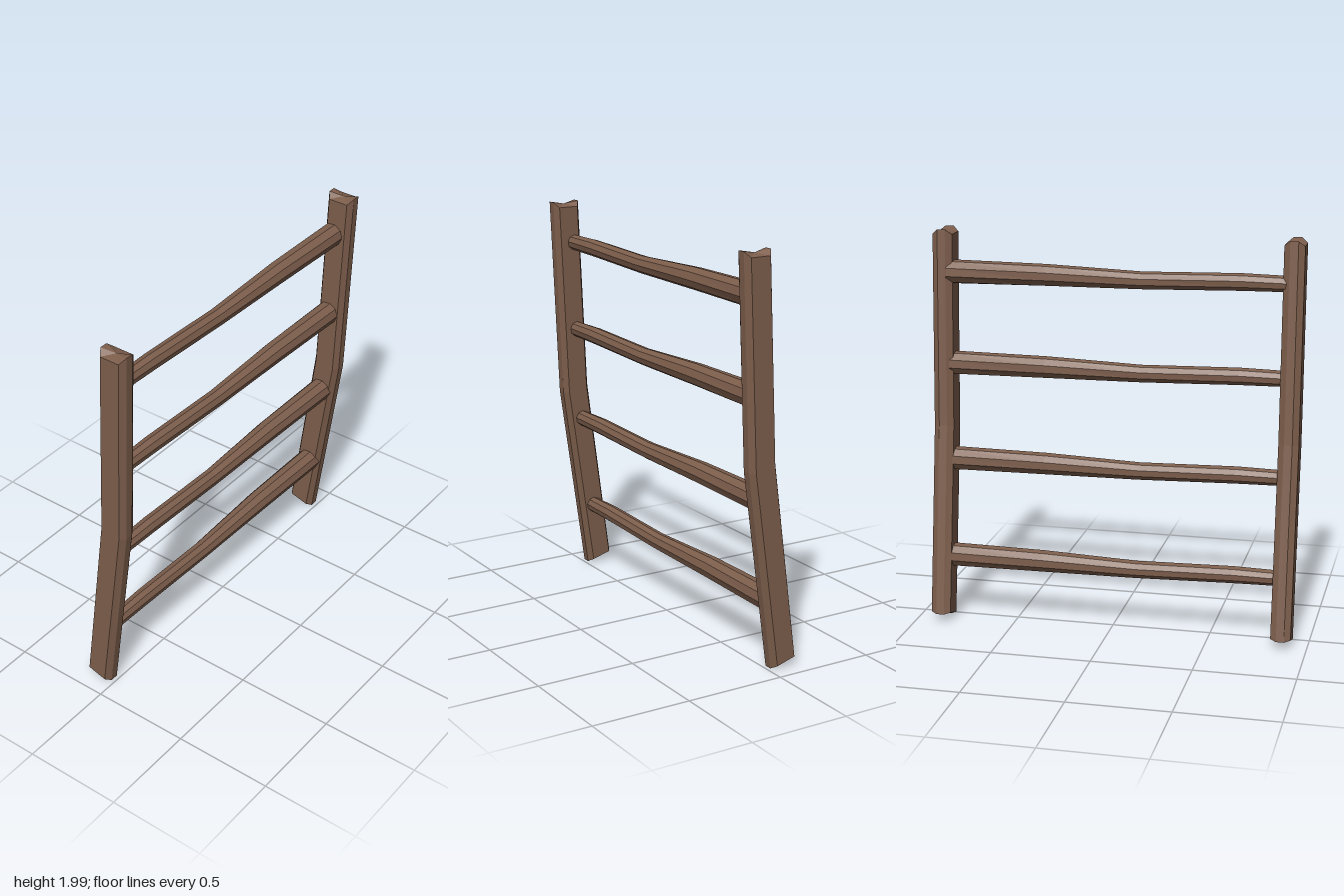
import * as THREE from 'three';

const wood = new THREE.MeshStandardMaterial({ color: 0x7d5e4c, roughness: 0.9, flatShading: true });

// Skins a list of equal-length loops (counter-clockwise seen from the last loop's end) and caps both ends
function loft(loops) {
  const n = loops[0].length;
  const positions = [];
  const tri = (...corners) => corners.forEach((p) => positions.push(p.x, p.y, p.z));
  for (let r = 0; r < loops.length - 1; r++) {
    for (let i = 0; i < n; i++) {
      const j = (i + 1) % n;
      const [a, b, c, d] = [loops[r][i], loops[r][j], loops[r + 1][j], loops[r + 1][i]];
      tri(a, b, c);
      tri(a, c, d);
    }
  }
  const centre = (loop) => loop.reduce((s, p) => s.add(p), new THREE.Vector3()).divideScalar(n);
  const first = loops[0];
  const last = loops[loops.length - 1];
  const c0 = centre(first);
  const c1 = centre(last);
  for (let i = 0; i < n; i++) {
    const j = (i + 1) % n;
    tri(c0, first[j], first[i]);
    tri(c1, last[i], last[j]);
  }
  const geometry = new THREE.BufferGeometry();
  geometry.setAttribute('position', new THREE.Float32BufferAttribute(positions, 3));
  geometry.computeVertexNormals();
  return geometry;
}

// Bent post: narrow ridges front and back, wider sides, worn ends
function postGeometry() {
  const section = [
    [0.02, 1], [0.05, 0.72], [0.05, -0.72], [0.02, -1],
    [-0.02, -1], [-0.05, -0.72], [-0.05, 0.72], [-0.02, 1],
  ];
  // y, z, half depth, tilt of the cut, drop of the side corners
  const stations = [
    [0.03, -0.087, 0.067, -0.02, -0.012],
    [1.0, 0.045, 0.072, -0.015, 0],
    [2.0, 0.087, 0.072, 0, 0.025],
  ];
  return loft(stations.map(([y, z, depth, tilt, drop]) =>
    section.map(([x, s]) => {
      const isSide = Math.abs(x) > 0.03;
      return new THREE.Vector3(x, y + s * tilt - (isSide ? drop : 0), z + s * depth);
    })));
}

// Hewn rung: gently wavy, thicker toward +x
function rungGeometry() {
  const sides = 9;
  // x, y, z, radius
  const stations = [
    [-0.86, 0.003, 0, 0.039],
    [-0.62, 0.004, 0, 0.043],
    [-0.13, -0.008, 0.003, 0.044],
    [0.35, 0, 0.002, 0.055],
    [0.85, 0, 0.006, 0.06],
  ];
  return loft(stations.map(([x, y, z, radius], k) =>
    Array.from({ length: sides }, (_, i) => {
      const angle = (i / sides) * Math.PI * 2 + k * 0.06;
      return new THREE.Vector3(x, y + Math.cos(angle) * radius, z + Math.sin(angle) * radius);
    })));
}

export function createModel() {
  const ladder = new THREE.Group();
  ladder.name = 'ladder';

  // Two side posts
  const post = postGeometry();
  for (const [name, x] of [['leftPost', 0.872], ['rightPost', -0.872]]) {
    const mesh = new THREE.Mesh(post, wood);
    mesh.name = name;
    mesh.position.x = x;
    ladder.add(mesh);
  }

  // Four rungs following the bend of the posts
  const rung = rungGeometry();
  [[0.34, -0.043], [0.835, 0.018], [1.325, 0.045], [1.786, 0.053]].forEach(([y, z], i) => {
    const mesh = new THREE.Mesh(rung, wood);
    mesh.name = `rung${i + 1}`;
    mesh.position.set(0, y, z);
    ladder.add(mesh);
  });

  return ladder;
}
